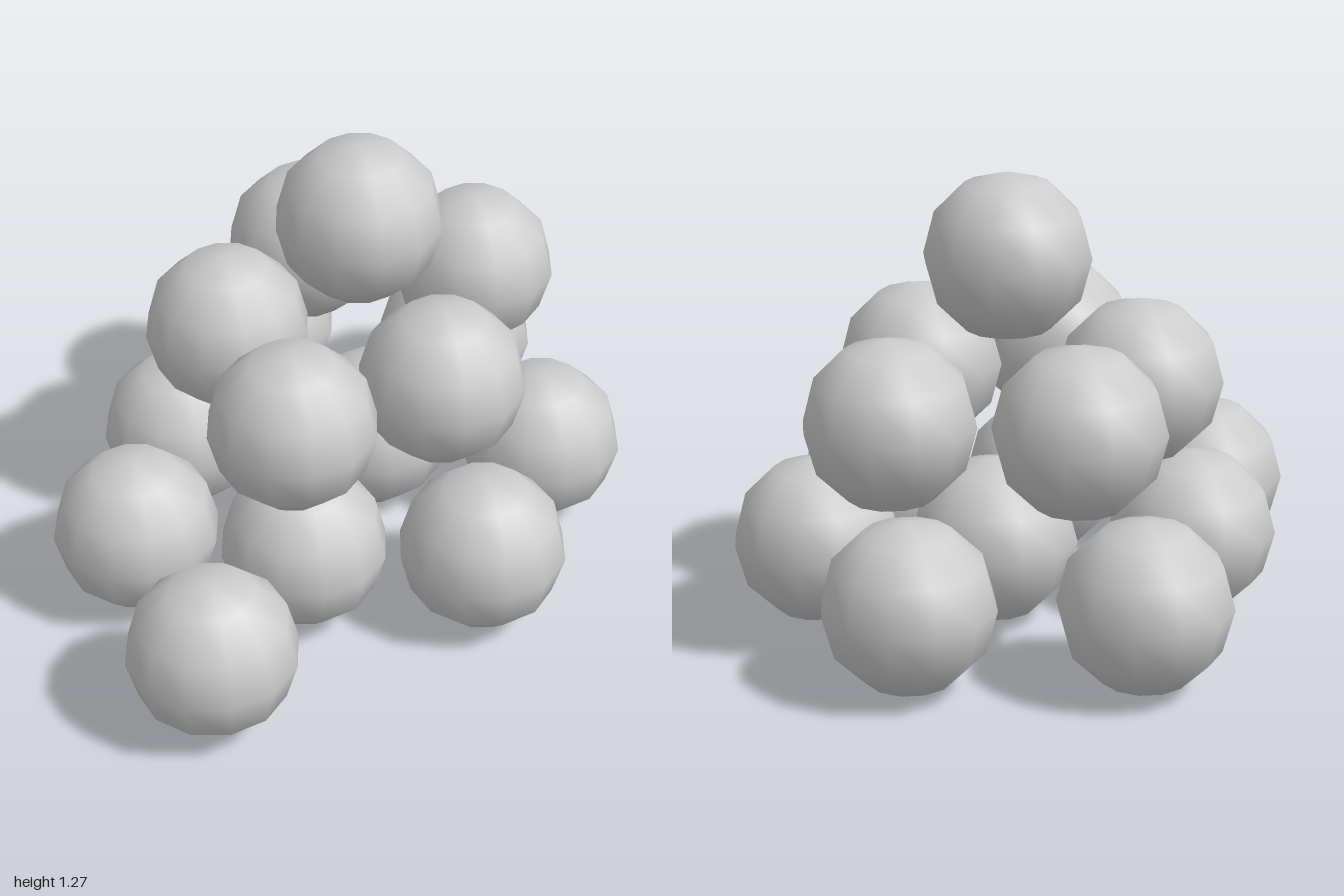
import * as THREE from 'three';

const RADIUS = 0.238;

// Each layer: height of the ball centres, then [x, z] of every ball
const LAYERS = [
  { name: 'bottomLayer', y: 0.24, balls: [
    [-0.14, -0.76], [0.4, -0.55],
    [-0.62, -0.365], [0.01, -0.235], [0.61, -0.065],
    [-0.385, 0.17], [0.25, 0.285],
    [-0.135, 0.575], [0.388, 0.762],
  ] },
  { name: 'middleLayer', y: 0.667, balls: [
    [0.05, -0.615], [-0.387, -0.35], [0.375, -0.13], [-0.23, 0.122], [0.232, 0.31],
  ] },
  { name: 'topLayer', y: 1.037, balls: [[0.036, -0.14]] },
];

export function createModel() {
  const model = new THREE.Group();
  model.name = 'ballPile';
  const material = new THREE.MeshStandardMaterial({ color: 0xcccccc });
  // Low-poly ball with smooth normals
  const geometry = new THREE.SphereGeometry(RADIUS, 12, 6);

  for (const { name, y, balls } of LAYERS) {
    const layer = new THREE.Group();
    layer.name = name;
    balls.forEach(([x, z], i) => {
      const ball = new THREE.Mesh(geometry, material);
      ball.name = `ball${i + 1}`;
      ball.position.set(x, y, z);
      layer.add(ball);
    });
    model.add(layer);
  }
  return model;
}
